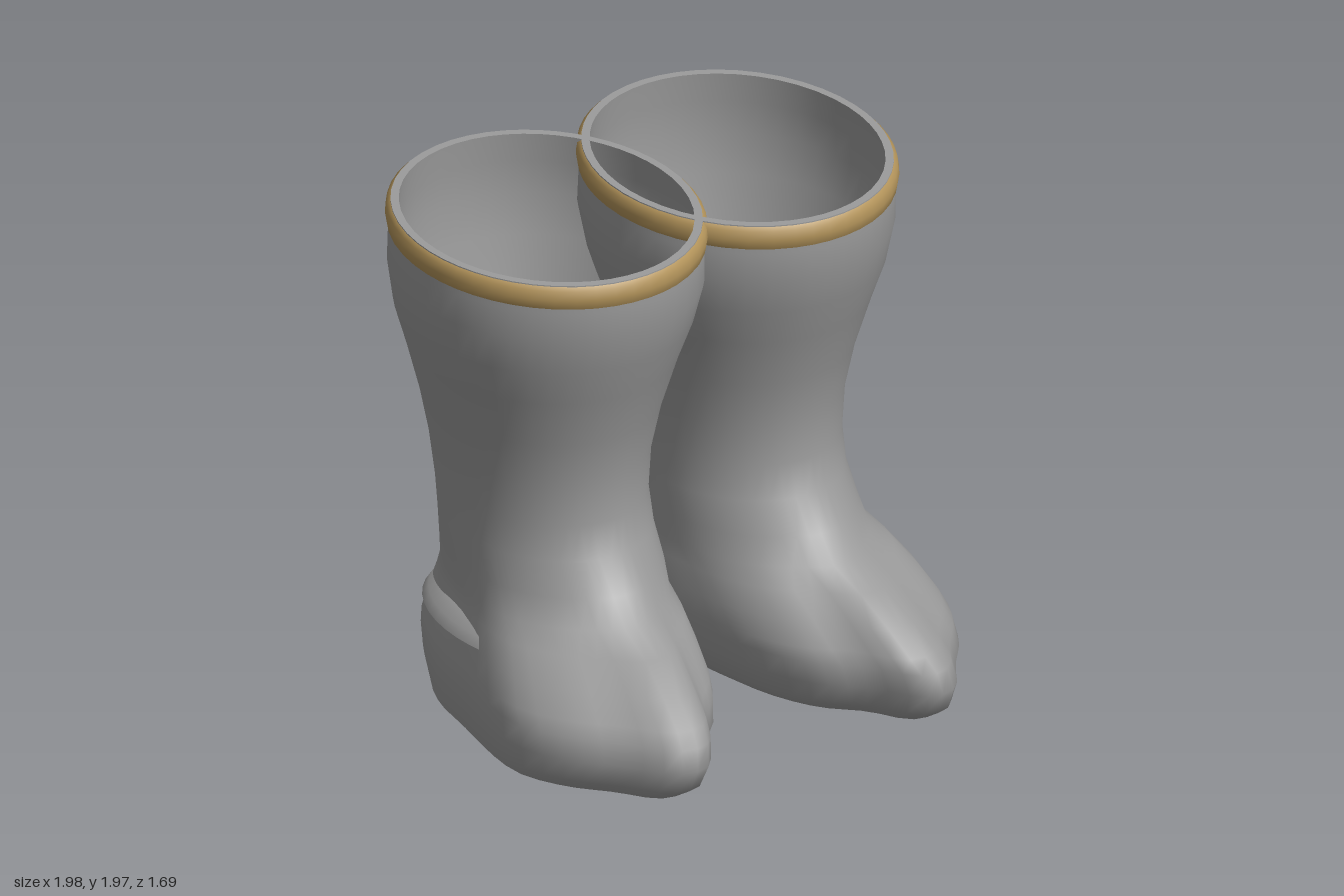
import * as THREE from 'three';

const leather = new THREE.MeshStandardMaterial({ color: 0x999999, side: THREE.DoubleSide });
leather.name = 'grey leather';
const gold = new THREE.MeshStandardMaterial({ color: 0xb2935a, side: THREE.DoubleSide });
gold.name = 'gold trim';

// Footprint outline (x, z), pointed toe first, then round the outer side to the heel
const print = [
  [0.54, 0.84], [0.62, 0.81], [0.72, 0.67], [0.86, 0.5], [0.94, 0.32], [0.945, 0.2], [0.92, 0.05],
  [0.86, -0.2], [0.81, -0.42], [0.69, -0.63], [0.45, -0.73], [0.2, -0.64], [0.07, -0.42],
  [0.06, -0.15], [0.09, 0.1], [0.13, 0.3], [0.22, 0.5], [0.37, 0.66], [0.46, 0.81],
];
const outline = new THREE.CatmullRomCurve3(
  print.map(([x, z]) => new THREE.Vector3((x - 0.5025) / 0.4425, 0, (z - 0.055) / 0.785)), true
).getSpacedPoints(48).slice(0, 48);

// Levels: y, inner x, outer x, front z, back z, footprint blend, tilt
const levels = [
  [0, 0.155, 0.9, 0.72, -0.68, 1, 0],
  [0.05, 0.11, 0.925, 0.8, -0.695, 1, 0],
  [0.14, 0.07, 0.945, 0.84, -0.73, 1, 0],
  [0.22, 0.055, 0.935, 0.82, -0.76, 1, 0],
  [0.27, 0.04, 0.92, 0.77, -0.772, 1, 0],
  [0.35, 0.04, 0.885, 0.66, -0.755, 0.95, 0],
  [0.44, 0.05, 0.835, 0.51, -0.728, 0.75, 0],
  [0.5, 0.06, 0.8, 0.36, -0.71, 0.45, 0],
  [0.6, 0.065, 0.79, 0.28, -0.7, 0.15, 0],
  [0.72, 0.07, 0.785, 0.19, -0.695, 0, 0],
  [0.85, 0.07, 0.79, 0.155, -0.7, 0, 0.01],
  [1.02, 0.05, 0.81, 0.155, -0.72, 0, 0.02],
  [1.2, 0.01, 0.85, 0.19, -0.75, 0, 0.03],
  [1.4, -0.05, 0.91, 0.25, -0.79, 0, 0.04],
  [1.55, -0.105, 0.96, 0.3, -0.825, 0, 0.05],
  [1.7, -0.14, 0.985, 0.335, -0.846, 0, 0.06],
  [1.82, -0.135, 0.982, 0.34, -0.843, 0, 0.075],
  [1.93, -0.125, 0.973, 0.335, -0.835, 0, 0.075],
];
const rim = levels[levels.length - 1];

// One closed ring at a level, grown sideways by grow and raised by lift
function ring([y, x0, x1, zf, zb, k, tilt], side, grow = 0, lift = 0) {
  const cx = (x0 + x1) / 2, cz = (zf + zb) / 2;
  const rx = (x1 - x0) / 2 + grow, rz = (zf - zb) / 2 + grow;
  const points = outline.map((p) => {
    const d = Math.hypot(p.x, p.z);
    const nx = THREE.MathUtils.lerp(p.x / d, p.x, k);
    const nz = THREE.MathUtils.lerp(p.z / d, p.z, k);
    return [side * (cx + nx * rx), y + lift - tilt * nz * rz, cz + nz * rz];
  });
  return side > 0 ? points : points.reverse();
}

// Skin a stack of rings; rings going up face outward
function loft(rings) {
  const n = rings[0].length, index = [];
  for (let r = 0; r < rings.length - 1; r++) {
    for (let i = 0; i < n; i++) {
      const a = r * n + i, b = r * n + ((i + 1) % n);
      index.push(a, b, b + n, a, b + n, a + n);
    }
  }
  const geo = new THREE.BufferGeometry();
  geo.setAttribute('position', new THREE.Float32BufferAttribute(rings.flat(2), 3));
  geo.setIndex(index);
  geo.computeVertexNormals();
  return geo;
}

function shrink(points, s, y) {
  const n = points.length;
  const cx = points.reduce((t, p) => t + p[0], 0) / n, cz = points.reduce((t, p) => t + p[2], 0) / n;
  return points.map((p) => [cx + (p[0] - cx) * s, y, cz + (p[2] - cz) * s]);
}

function boot(side) {
  const group = new THREE.Group();
  group.name = side > 0 ? 'leftBoot' : 'rightBoot';
  const add = (name, rings, material) => {
    const mesh = new THREE.Mesh(loft(rings), material);
    mesh.name = name;
    group.add(mesh);
  };
  // Foot and shaft in one skin
  add('bootOuter', levels.map((l) => ring(l, side)), leather);
  // Flat sole
  const base = ring(levels[0], side);
  add('sole', [shrink(base, 0.001, 0), base], leather);
  // Lining and the flat lip joining it to the outside
  add('lining', levels.slice(5).reverse().map((l) => ring(l, side, -0.03)), leather);
  add('lip', [ring(rim, side), ring(rim, side, -0.03)], leather);
  // Domed footbed inside the shaft
  const bed = ring([0.36, 0.06, 0.86, 0.4, -0.74, 0, 0], side);
  const dome = [0, 0.2, 0.4, 0.6, 0.8, 0.999].map((t) => shrink(bed, Math.cos(t * Math.PI / 2), 0.36 + 0.12 * Math.sin(t * Math.PI / 2)));
  add('footbed', dome, leather);
  // Rounded band round the top edge
  const band = [[-0.092, 0.002], [-0.086, 0.014], [-0.05, 0.02], [-0.016, 0.015], [-0.004, 0]];
  add('topBand', band.map(([lift, grow]) => ring(rim, side, grow, lift)), gold);
  return group;
}

export function createModel() {
  const model = new THREE.Group();
  model.name = 'pairOfBoots';
  model.add(boot(1), boot(-1));
  return model;
}
